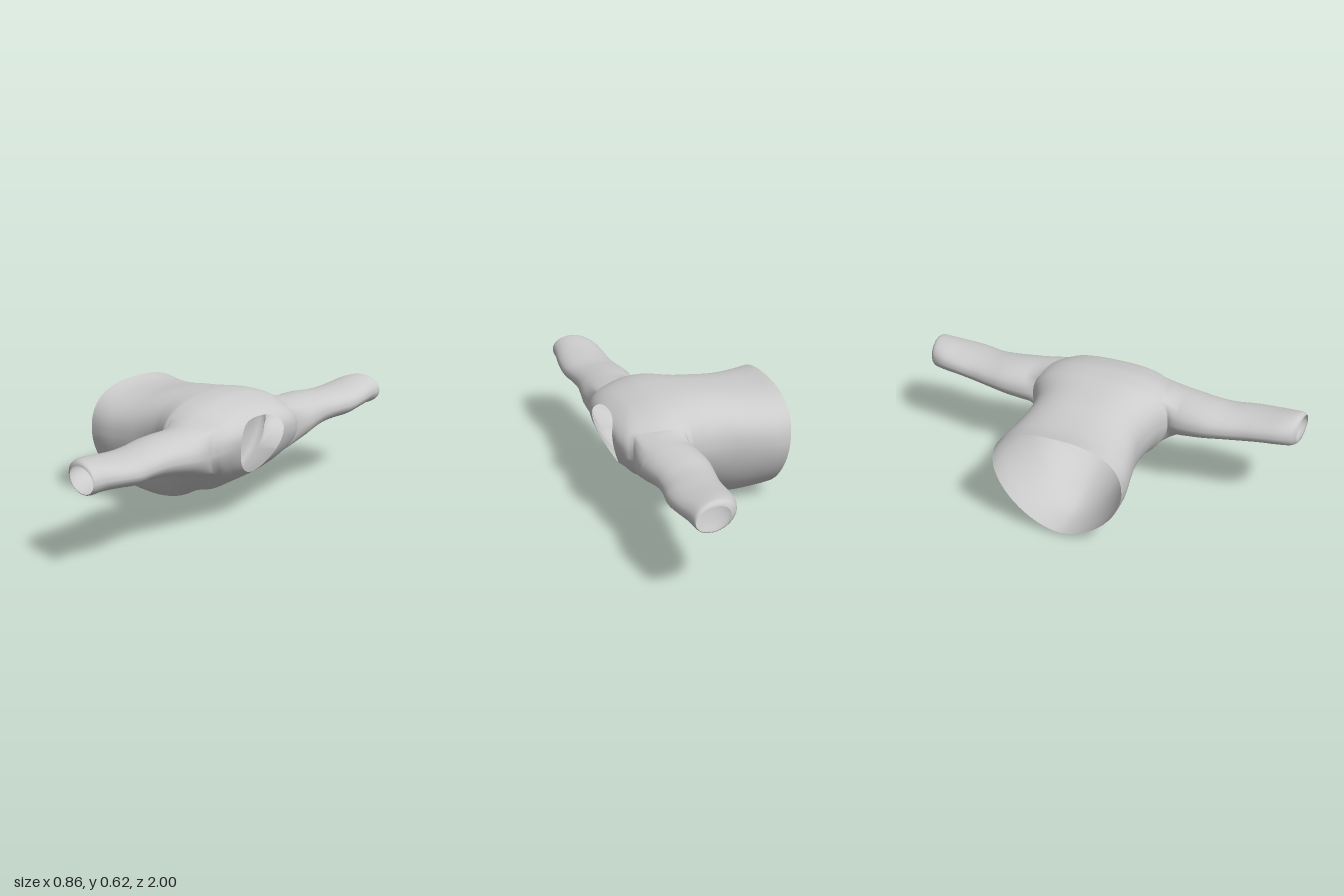
import * as THREE from 'three';

// Torso sections from hem to neck: x at bottom, x at top, extra x at sides,
// bottom y, top y, y of widest point, half width
const TORSO = [
  [-0.39, -0.43, 0, 0.015, 0.592, 0.36, 0.33],
  [-0.31, -0.34, 0, 0.006, 0.576, 0.37, 0.33],
  [-0.2, -0.22, 0, 0, 0.58, 0.38, 0.31],
  [-0.1, -0.1, 0, 0.022, 0.6, 0.39, 0.295],
  [0, 0, 0, 0.075, 0.612, 0.4, 0.305],
  [0.085, 0.08, 0, 0.108, 0.621, 0.42, 0.338],
  [0.13, 0.13, 0, 0.122, 0.624, 0.42, 0.365],
  [0.21, 0.22, 0.035, 0.17, 0.62, 0.42, 0.365],
  [0.3, 0.32, 0.075, 0.225, 0.595, 0.42, 0.3],
  [0.335, 0.365, 0.07, 0.25, 0.575, 0.44, 0.22],
  [0.365, 0.4, 0.045, 0.267, 0.553, 0.45, 0.15],
];
// Sleeve sections from armhole to cuff: z, low x, high x, low y, high y
const SLEEVE = [
  [0.34, 0.125, 0.4, 0.295, 0.555],
  [0.39, 0.112, 0.4, 0.32, 0.543],
  [0.46, 0.1, 0.39, 0.338, 0.538],
  [0.55, 0.098, 0.378, 0.355, 0.53],
  [0.64, 0.112, 0.382, 0.367, 0.521],
  [0.73, 0.128, 0.398, 0.373, 0.523],
  [0.82, 0.134, 0.395, 0.386, 0.529],
  [0.91, 0.143, 0.382, 0.392, 0.54],
  [0.965, 0.163, 0.377, 0.391, 0.543],
  [0.985, 0.185, 0.374, 0.396, 0.536],
  [0.992, 0.2, 0.37, 0.403, 0.524],
];
const N = 60;               // points round the torso
const SUB = 4;              // rings per section
const R0 = 6 * SUB, R1 = 8 * SUB, HALF = 6; // armhole rows and half height

// Smooth interpolation through the rows of a table
function sample(table, t) {
  const i = Math.min(Math.floor(t), table.length - 2), f = t - i;
  const row = k => table[Math.max(0, Math.min(table.length - 1, k))];
  return table[0].map((_, k) => {
    const [a, b, c, d] = [row(i - 1)[k], row(i)[k], row(i + 1)[k], row(i + 2)[k]];
    return b + 0.5 * f * (c - a + f * (2 * a - 5 * b + 4 * c - d + f * (3 * (b - c) + d - a)));
  });
}

const power = (v, e) => Math.sign(v) * Math.abs(v) ** e;

// A point on the torso, fuller above its widest line than below
function torsoPoint(row, col) {
  const [xb, xt, bulge, yb, yt, cy, w] = sample(TORSO, row / SUB);
  const a = (col / N) * Math.PI * 2, s = Math.sin(a), c = Math.cos(a);
  const e = s > 0 ? 2 / 2.5 : 2 / 1.75;
  const y = cy + power(s, e) * (s > 0 ? yt - cy : cy - yb);
  const x = xb + (xt - xb) * (y - yb) / (yt - yb) + bulge * c * c;
  return [x, y, w * power(c, e)];
}

export function createModel() {
  const positions = [];
  const parts = { torso: [], leftSleeve: [], rightSleeve: [] };
  const add = p => positions.push(...p) / 3 - 1;
  const quad = (list, a, b, c, d, flip) =>
    list.push(...(flip ? [a, c, b, a, d, c] : [a, b, c, a, c, d]));

  // Torso tube, leaving out the two armholes
  const rows = (TORSO.length - 1) * SUB;
  for (let r = 0; r <= rows; r++) for (let c = 0; c < N; c++) add(torsoPoint(r, c));
  const id = (r, c) => r * N + ((c + N) % N);
  const inArmhole = (r, c) => {
    const left = c + 0.5 > N / 2 + N / 4 ? c + 0.5 - N : c + 0.5;
    return r >= R0 && r < R1 && (Math.abs(left) < HALF || Math.abs(left - N / 2) < HALF);
  };
  for (let r = 0; r < rows; r++) for (let c = 0; c < N; c++)
    if (!inArmhole(r, c)) quad(parts.torso, id(r, c), id(r + 1, c), id(r + 1, c + 1), id(r, c + 1));

  // Armhole edge, anticlockwise, as [row, column]
  const edge = [];
  for (let r = R0; r < R1; r++) edge.push([r, -HALF]);
  for (let c = -HALF; c < HALF; c++) edge.push([R1, c]);
  for (let r = R1; r > R0; r--) edge.push([r, HALF]);
  for (let c = HALF; c > -HALF; c--) edge.push([R0, c]);

  // Sleeves grow out of the armhole edges and become oval
  for (const side of [1, -1]) {
    const list = side > 0 ? parts.leftSleeve : parts.rightSleeve;
    let ring = edge.map(([r, c]) => id(r, side > 0 ? c : N / 2 - c));
    const start = ring.map(i => positions.slice(i * 3, i * 3 + 3));
    const steps = (SLEEVE.length - 1) * 4;
    for (let j = 1; j <= steps; j++) {
      const [z, x0, x1, y0, y1] = sample(SLEEVE, j / 4);
      const f = Math.min(1, j / 5);
      const next = start.map(p => {
        const a = Math.atan2((p[1] - 0.425) / 0.13, (p[0] - 0.255) / 0.125);
        const x = (x0 + x1) / 2 + Math.cos(a) * (x1 - x0) / 2;
        const y = (y0 + y1) / 2 + Math.sin(a) * (y1 - y0) / 2;
        const target = [x, y, side * (z + (x - 0.28) * 0.08)];
        return add(p.map((v, k) => v + (target[k] - v) * f));
      });
      ring.forEach((a, k) => {
        const m = (k + 1) % ring.length;
        quad(list, a, ring[m], next[m], next[k], side < 0);
      });
      ring = next;
    }
  }

  // Shared smooth normals, then one mesh per part
  const whole = new THREE.BufferGeometry();
  whole.setAttribute('position', new THREE.Float32BufferAttribute(positions, 3));
  whole.setIndex(Object.values(parts).flat());
  whole.computeVertexNormals();
  const material = new THREE.MeshStandardMaterial({ color: 0xcccccc, side: THREE.DoubleSide });
  const group = new THREE.Group();
  group.name = 'shirt';
  for (const [name, index] of Object.entries(parts)) {
    whole.setIndex(index);
    const mesh = new THREE.Mesh(whole.toNonIndexed(), material);
    mesh.name = name;
    group.add(mesh);
  }
  return group;
}
